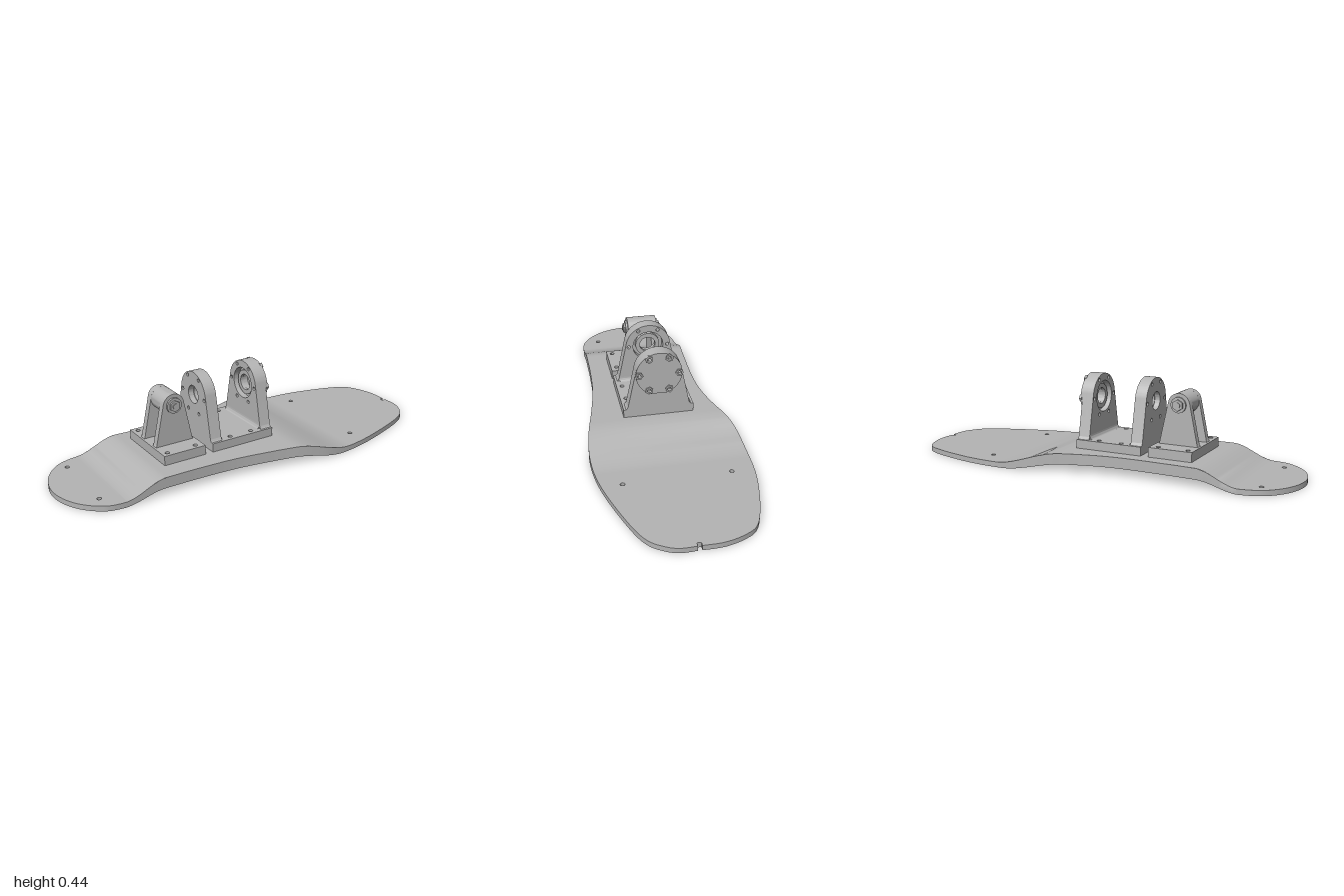
import * as THREE from 'three';
import { mergeGeometries, toCreasedNormals } from 'three/addons/utils/BufferGeometryUtils.js';

const metal = new THREE.MeshStandardMaterial({ color: 0xb4b4b4, side: THREE.DoubleSide });
metal.name = 'plain grey';

const mesh = (name, geo, parent) => {
  const m = new THREE.Mesh(geo, metal);
  m.name = name;
  parent.add(m);
  return m;
};
const circle = (x, y, r) => new THREE.Path().absarc(x, y, r, 0, Math.PI * 2, true);
const extrude = (shape, depth) => toCreasedNormals(
  new THREE.ExtrudeGeometry(shape, { depth, bevelEnabled: false, curveSegments: 28 }), 0.5);
// Slab facing sideways: the shape lies in the z-y plane, thickness runs from x0 to x1
const sideSlab = (shape, x0, x1) => extrude(shape, x1 - x0).rotateY(Math.PI / 2).translate(x0, 0, 0);

const TOP = 0.093, Z0 = -0.006, HOLE_Z = 0.148;
const FOOT_X = [-0.485, -0.335], YOKE_X = [-0.14, -0.02];

// ---------- Board ----------
const s = THREE.MathUtils.smoothstep;
const topY = x => 0.026 + 0.067 * s(x, -0.77, -0.56) * (1 - s(x, 0.11, 0.44));
const bottomY = x => 0.04 * s(x, -0.77, -0.57) * (1 - s(x, 0.1, 0.4));

// Keep the part of a polygon on one side of a line of constant x
function clip(poly, limit, sign) {
  const out = [];
  poly.forEach((a, i) => {
    const b = poly[(i + 1) % poly.length];
    const da = (a.x - limit) * sign, db = (b.x - limit) * sign;
    if (da >= 0) out.push(a);
    if (da * db < 0) out.push(a.clone().lerp(b, da / (da - db)));
  });
  return out;
}

function boardGeometry() {
  const edge = [
    [0.995, -0.01], [0.993, -0.11], [0.962, -0.21], [0.91, -0.275], [0.78, -0.325], [0.6, -0.366], [0.45, -0.378],
    [0.32, -0.372], [0.2, -0.35], [0.05, -0.3], [-0.1, -0.266], [-0.25, -0.256], [-0.45, -0.26], [-0.7, -0.271],
    [-0.8, -0.265], [-0.88, -0.235], [-0.945, -0.17], [-0.985, -0.09], [-1, 0], [-0.985, 0.09], [-0.945, 0.17],
    [-0.88, 0.235], [-0.8, 0.268], [-0.6, 0.275], [-0.4, 0.278], [-0.2, 0.29], [0, 0.322], [0.2, 0.362],
    [0.35, 0.373], [0.55, 0.345], [0.8, 0.268], [0.92, 0.21], [0.975, 0.14], [0.995, 0.08], [0.995, 0.01]
  ].map(([x, z]) => new THREE.Vector2(x, -z));
  const outline = new THREE.SplineCurve(edge).getPoints(240);
  // small notch in the wide end
  outline.push(new THREE.Vector2(0.975, -0.01), new THREE.Vector2(0.975, 0.01));

  // holes: x, z, radius, radius underneath
  const holes = [[-0.85, -0.19, 0.011, 0.011], [-0.85, 0.175, 0.011, 0.011],
    [0.53, -0.265, 0.011, 0.011], [0.53, 0.25, 0.011, 0.011]];
  for (const z of [Z0 - HOLE_Z, Z0 + HOLE_Z]) {
    for (const x of FOOT_X) holes.push([x, z, 0.011, 0.017]);
    for (const x of YOKE_X) holes.push([x, z, 0.011, 0.024]);
  }

  // Slices are fine on the bends and long on the flats
  const cuts = [-1.05];
  for (let i = 0; i <= 16; i++) cuts.push(-0.77 + i * 0.0135);
  for (let i = 0; i <= 20; i++) cuts.push(0.1 + i * 0.017);
  cuts.push(1.05);

  const parts = [];
  const face = (poly, isTop, x0, x1) => {
    const shape = new THREE.Shape(poly);
    for (const [x, z, r, rb] of holes) {
      if (x > x0 && x < x1) shape.holes.push(circle(x, -z, isTop ? r : rb));
    }
    const g = new THREE.ShapeGeometry(shape, 24).rotateX(-Math.PI / 2);
    const p = g.attributes.position;
    for (let i = 0; i < p.count; i++) p.setY(i, (isTop ? topY : bottomY)(p.getX(i)));
    if (!isTop) g.index.array.reverse();
    parts.push(g.toNonIndexed());
  };
  for (let i = 0; i < cuts.length - 1; i++) {
    const poly = clip(clip(outline, cuts[i], 1), cuts[i + 1], -1);
    face(poly, true, cuts[i], cuts[i + 1]);
    face(poly, false, cuts[i], cuts[i + 1]);
  }

  // Rim
  const rim = [];
  outline.forEach((a, i) => {
    const b = outline[(i + 1) % outline.length];
    const a0 = [a.x, bottomY(a.x), -a.y], a1 = [a.x, topY(a.x), -a.y];
    const b0 = [b.x, bottomY(b.x), -b.y], b1 = [b.x, topY(b.x), -b.y];
    rim.push(...a0, ...b0, ...b1, ...a0, ...b1, ...a1);
  });
  parts.push(new THREE.BufferGeometry().setAttribute('position', new THREE.Float32BufferAttribute(rim, 3)));

  // Hole walls, stepped where the underside is counterbored
  for (const [x, z, r, rb] of holes) {
    const y0 = bottomY(x), y1 = topY(x), step = y0 + (y1 - y0) * 0.35;
    const pts = rb > r ? [[rb, y0], [rb, step], [r, step], [r, y1]] : [[r, y0], [r, y1]];
    parts.push(new THREE.LatheGeometry(pts.map(p => new THREE.Vector2(...p)), 24)
      .translate(x, 0, z).toNonIndexed());
  }
  for (const g of parts) { g.deleteAttribute('normal'); g.deleteAttribute('uv'); }
  return toCreasedNormals(mergeGeometries(parts), 0.5);
}

// ---------- Brackets ----------
// Bolted base plate with four holes
function basePlate(name, x0, x1, holeXs, height, parent) {
  const w = 0.177;
  const shape = new THREE.Shape([[x0, -w], [x1, -w], [x1, w], [x0, w]].map(p => new THREE.Vector2(...p)));
  for (const x of holeXs) for (const z of [-HOLE_Z, HOLE_Z]) shape.holes.push(circle(x, z, 0.011));
  mesh(name, extrude(shape, height).rotateX(-Math.PI / 2).translate(0, TOP, 0), parent);
}

// Tapered upright with a round top and flared foot
function upright(foot, waist, r, cy, footY) {
  const shape = new THREE.Shape();
  const tilt = Math.atan2(waist - r, cy - footY) * 0.9;
  shape.moveTo(-foot, footY - 0.015);
  shape.lineTo(foot, footY - 0.015);
  shape.quadraticCurveTo(waist + 0.003, footY - 0.008, waist, footY + 0.012);
  shape.absarc(0, cy, r, tilt, Math.PI - tilt, false);
  shape.lineTo(-waist, footY + 0.012);
  shape.quadraticCurveTo(-waist - 0.003, footY - 0.008, -foot, footY - 0.015);
  return shape;
}

const CY = 0.33;
const boltSpots = [0, 60, 120, 180, 240, 300].map(d => {
  const a = THREE.MathUtils.degToRad(d);
  return [0.1 * Math.cos(a), CY + 0.1 * Math.sin(a)];
});

function yoke() {
  const g = new THREE.Group();
  g.name = 'yokeBracket';
  g.position.z = Z0;
  basePlate('yokeBase', -0.255, 0.09, YOKE_X, 0.043, g);
  const layer = bore => {
    const shape = upright(0.174, 0.153, 0.115, CY, 0.146);
    shape.holes.push(circle(0, CY, bore), ...boltSpots.map(([z, y]) => circle(z, y, 0.009)));
    return shape;
  };
  const ring = new THREE.Shape().absarc(0, CY, 0.062, 0, Math.PI * 2, false);
  ring.holes.push(circle(0, CY, 0.04));
  // Each cheek has a wide inner recess holding a bearing ring
  for (const [name, outer, dir] of [['leftCheek', 0.09, -1], ['rightCheek', -0.255, 1]]) {
    const slab = (part, shape, a, b) => {
      const xs = [outer + dir * a, outer + dir * b].sort((p, q) => p - q);
      mesh(part, sideSlab(shape, ...xs), g);
    };
    slab(name + 'Outer', layer(0.045), 0, 0.028);
    slab(name + 'Inner', layer(0.078), 0.028, 0.06);
    slab(name + 'Bearing', ring, 0.028, 0.045);
    // Fillet where the cheek meets the base
    const x = outer + dir * 0.06, f = new THREE.Shape();
    f.moveTo(x, 0.134);
    f.lineTo(x + dir * 0.02, 0.134);
    f.quadraticCurveTo(x, 0.136, x, 0.158);
    mesh(name + 'Fillet', extrude(f, 0.3).translate(0, 0, -0.15), g);
  }
  // End cap with a flat lower edge and hex nuts
  const cut = Math.asin(-0.108 / 0.115);
  const cap = new THREE.Shape().absarc(0, CY, 0.115, cut, Math.PI - cut, false);
  cap.holes.push(...boltSpots.map(([z, y]) => circle(z, y, 0.01)));
  mesh('endCap', sideSlab(cap, 0.09, 0.1), g);
  boltSpots.forEach(([z, y], n) => {
    const hex = new THREE.Shape();
    for (let i = 0; i < 6; i++) {
      const a = i * Math.PI / 3 + n * 0.35;
      hex[i ? 'lineTo' : 'moveTo'](z + 0.02 * Math.cos(a), y + 0.02 * Math.sin(a));
    }
    hex.holes.push(circle(z, y, 0.01));
    mesh('nut', sideSlab(hex, 0.094, 0.107), g);
  });
  return g;
}

function pivot() {
  const g = new THREE.Group(), cx = -0.405, cy = 0.335;
  g.name = 'pivotBracket';
  g.position.z = Z0;
  basePlate('pivotBase', -0.515, -0.295, FOOT_X, 0.047, g);
  const wall = upright(0.104, 0.093, 0.055, cy, 0.15);
  for (const z of [-0.076, 0.044]) mesh('pivotCheek', extrude(wall, 0.032).translate(cx, 0, z), g);
  const rod = (name, r, length, sides) => mesh(name,
    toCreasedNormals(new THREE.CylinderGeometry(r, r, length, sides), 0.5)
      .rotateX(Math.PI / 2).translate(cx, cy, 0), g);
  rod('hub', 0.055, 0.12, 40);
  rod('washer', 0.038, 0.172, 32);
  rod('boltHead', 0.028, 0.19, 6);
  rod('boltTip', 0.014, 0.2, 20);
  return g;
}

export function createModel() {
  const model = new THREE.Group();
  model.name = 'boardWithBrackets';
  mesh('board', boardGeometry(), model);
  model.add(yoke(), pivot());
  return model;
}
